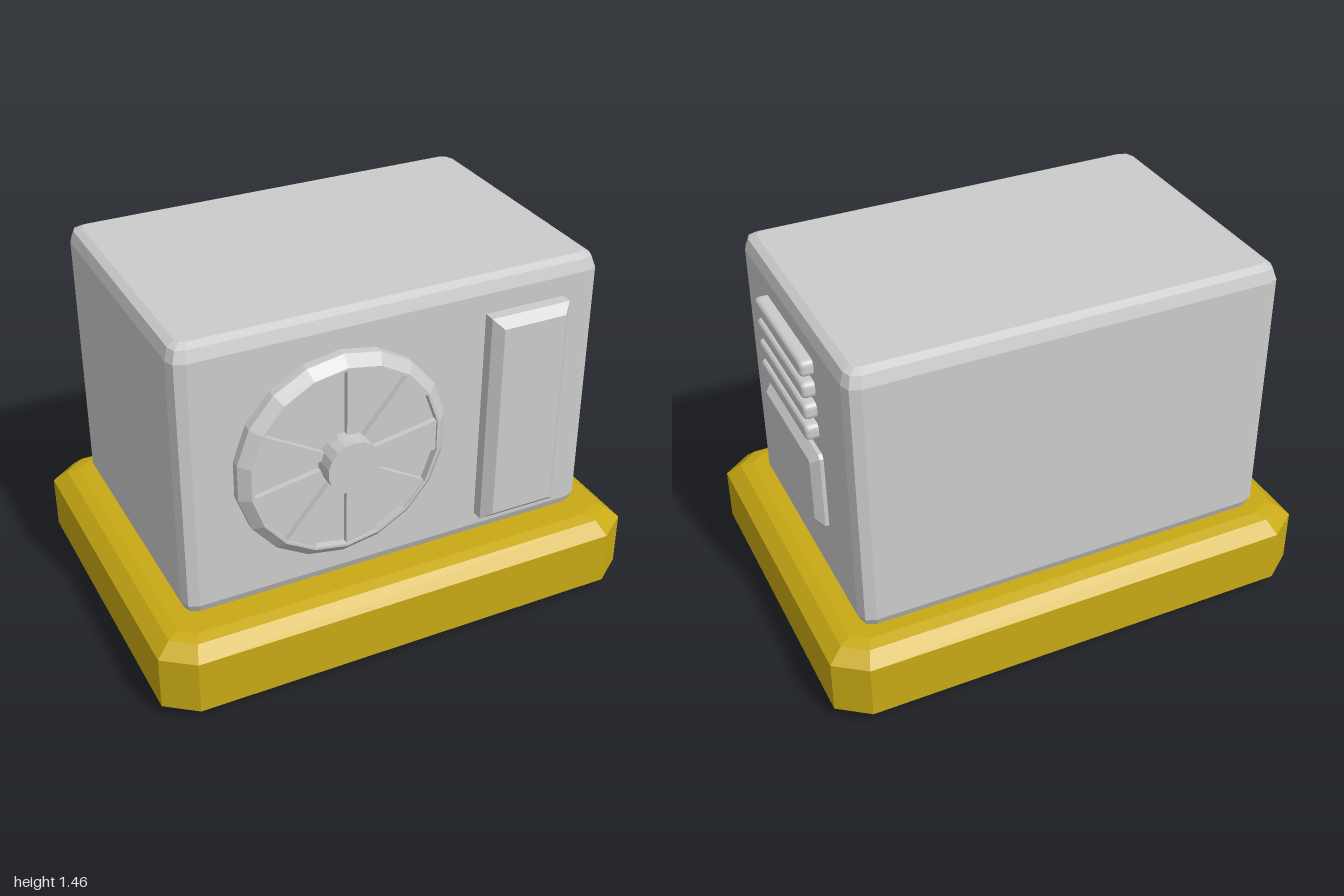
import * as THREE from 'three';
import { RoundedBoxGeometry } from 'three/addons/geometries/RoundedBoxGeometry.js';

const grey = new THREE.MeshStandardMaterial({ color: 0xcccccc, flatShading: true });
const yellow = new THREE.MeshStandardMaterial({ color: 0xc8a914, flatShading: true });

function addMesh(parent, name, geometry, material = grey) {
  const mesh = new THREE.Mesh(geometry, material);
  mesh.name = name;
  parent.add(mesh);
  return mesh;
}

// Block of stacked rings. layers: [height, inset]; corner: offsets cut from
// each corner, running from the x side to the z side.
function bevelBlock(width, depth, layers, corner = [[0, 0]], shrink = 0) {
  const pos = [], index = [];
  const n = corner.length * 4;
  for (const [y, inset] of layers) {
    const k = Math.max(0, 1 - inset * shrink);
    [[1, 1], [-1, 1], [-1, -1], [1, -1]].forEach(([sx, sz]) => {
      const points = sx * sz > 0 ? corner : [...corner].reverse();
      for (const [cx, cz] of points) {
        pos.push(sx * (width / 2 - inset - cx * k), y, sz * (depth / 2 - inset - cz * k));
      }
    });
  }
  const last = layers.length - 1;
  for (let l = 0; l < last; l++) {
    for (let i = 0; i < n; i++) {
      const a = l * n + i, b = l * n + (i + 1) % n;
      index.push(a, a + n, b, a + n, b + n, b);
    }
  }
  // Caps
  const bottom = pos.length / 3;
  pos.push(0, layers[0][0], 0, 0, layers[last][0], 0);
  for (let i = 0; i < n; i++) {
    const j = (i + 1) % n;
    index.push(bottom, i, j, bottom + 1, last * n + j, last * n + i);
  }
  const g = new THREE.BufferGeometry();
  g.setAttribute('position', new THREE.Float32BufferAttribute(pos, 3));
  g.setIndex(index);
  g.computeVertexNormals();
  return g;
}

function createFan() {
  const fan = new THREE.Group();
  fan.name = 'fan';
  const sides = 18;

  // Bevelled rim with a recessed floor
  const profile = [[0.42, -0.01], [0.42, 0.035], [0.38, 0.07], [0.37, 0.07], [0.37, 0.04], [0, 0.04]]
    .map(([r, y]) => new THREE.Vector2(r, y));
  addMesh(fan, 'fanRim', new THREE.LatheGeometry(profile, sides).rotateX(Math.PI / 2));

  // Raised wedge blades
  const half = Math.PI / sides;
  const wedge = new THREE.Shape();
  [[0.09, -half], [0.37, -half], [0.37, half], [0.09, half]].forEach(([r, a], i) => {
    wedge[i ? 'lineTo' : 'moveTo'](r * Math.cos(a), r * Math.sin(a));
  });
  const bladeGeometry = new THREE.ExtrudeGeometry(wedge, { depth: 0.027, bevelEnabled: false });
  for (let i = 0; i < sides / 2; i++) {
    const blade = addMesh(fan, 'fanBlade', bladeGeometry);
    blade.position.z = 0.035;
    blade.rotation.z = THREE.MathUtils.degToRad(80 + i * 40);
  }

  // Hub
  const hub = new THREE.CylinderGeometry(0.105, 0.105, 0.095, 18).rotateX(Math.PI / 2);
  addMesh(fan, 'fanHub', hub).position.z = 0.078;
  return fan;
}

export function createModel() {
  const model = new THREE.Group();
  model.name = 'outdoorCoolingUnit';

  // Chamfered plinth
  addMesh(model, 'base', bevelBlock(2, 1.45,
    [[0, 0.1], [0.012, 0.055], [0.06, 0], [0.28, 0], [0.328, 0.055], [0.34, 0.1]],
    [[0, 0.09], [0.12, 0]], 5), yellow);

  // Housing with two-step rounded edges
  const body = addMesh(model, 'housing', bevelBlock(1.7, 1.13,
    [[0.34, 0.045], [0.35, 0.015], [0.385, 0], [1.4, 0], [1.445, 0.015], [1.46, 0.045]],
    [[0, 0.055], [0.015, 0.015], [0.055, 0]], 10));
  body.position.z = -0.025;

  const fan = createFan();
  fan.position.set(-0.23, 0.9, 0.54);
  model.add(fan);

  // Raised front panel
  const frontPanel = addMesh(model, 'frontPanel',
    bevelBlock(0.33, 0.88, [[-0.01, 0], [0.045, 0], [0.08, 0.035]]).rotateX(Math.PI / 2));
  frontPanel.position.set(0.525, 0.88, 0.54);

  // Raised panel on the left side
  const sidePanel = addMesh(model, 'sidePanel',
    bevelBlock(0.335, 0.56, [[-0.01, 0], [0.015, 0], [0.045, 0.03]],
      [[0, 0.015], [0.015, 0]], 10).rotateZ(-Math.PI / 2));
  sidePanel.position.set(0.85, 0.777, -0.005);

  // Vent slats above it
  const slat = new RoundedBoxGeometry(0.08, 0.065, 0.51, 2, 0.02);
  for (let i = 0; i < 4; i++) {
    addMesh(model, 'ventSlat', slat).position.set(0.86, 1.033 + i * 0.09, -0.005);
  }
  return model;
}
